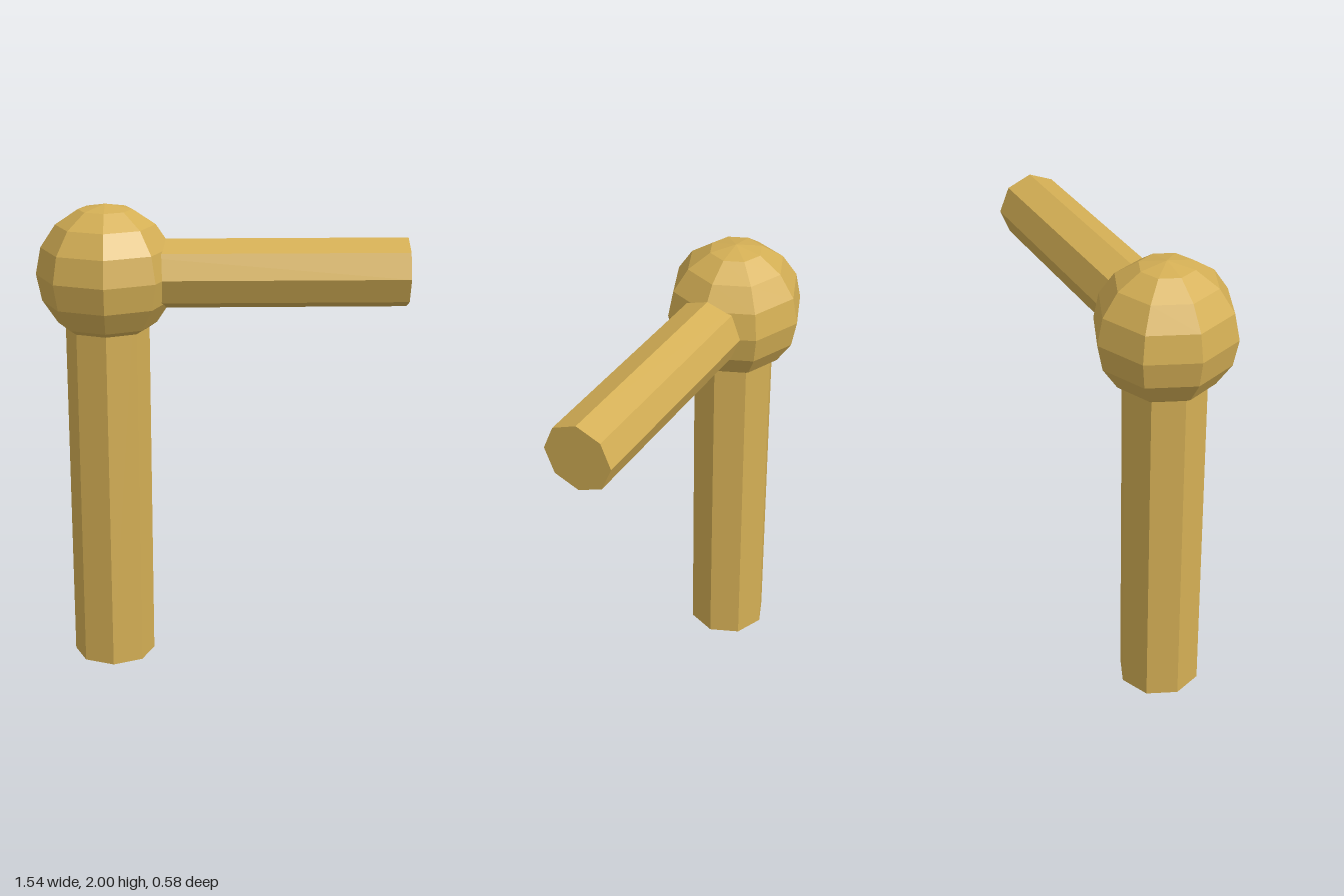
import * as THREE from 'three';

const JOINT_X = -0.48, JOINT_Y = 1.708, SIDES = 8;

export function createModel() {
  const model = new THREE.Group();
  model.name = 'angledRodJoint';
  const brass = new THREE.MeshStandardMaterial({ color: 0xd4af55, flatShading: true });

  const add = (name, geometry, x, y) => {
    const mesh = new THREE.Mesh(geometry, brass);
    mesh.name = name;
    mesh.position.set(x, y, 0);
    model.add(mesh);
    return mesh;
  };

  // Upright post, reaching up into the joint
  add('post', new THREE.CylinderGeometry(0.175, 0.175, JOINT_Y, SIDES), JOINT_X, JOINT_Y / 2);

  // Faceted ball joint
  add('ballJoint', new THREE.SphereGeometry(0.292, SIDES, 8), JOINT_X, JOINT_Y);

  // Horizontal arm, running from the joint towards +x
  const armLength = 0.77 - JOINT_X;
  const arm = add('arm', new THREE.CylinderGeometry(0.146, 0.146, armLength, SIDES),
    JOINT_X + armLength / 2, JOINT_Y);
  arm.rotation.z = -Math.PI / 2;

  return model;
}
